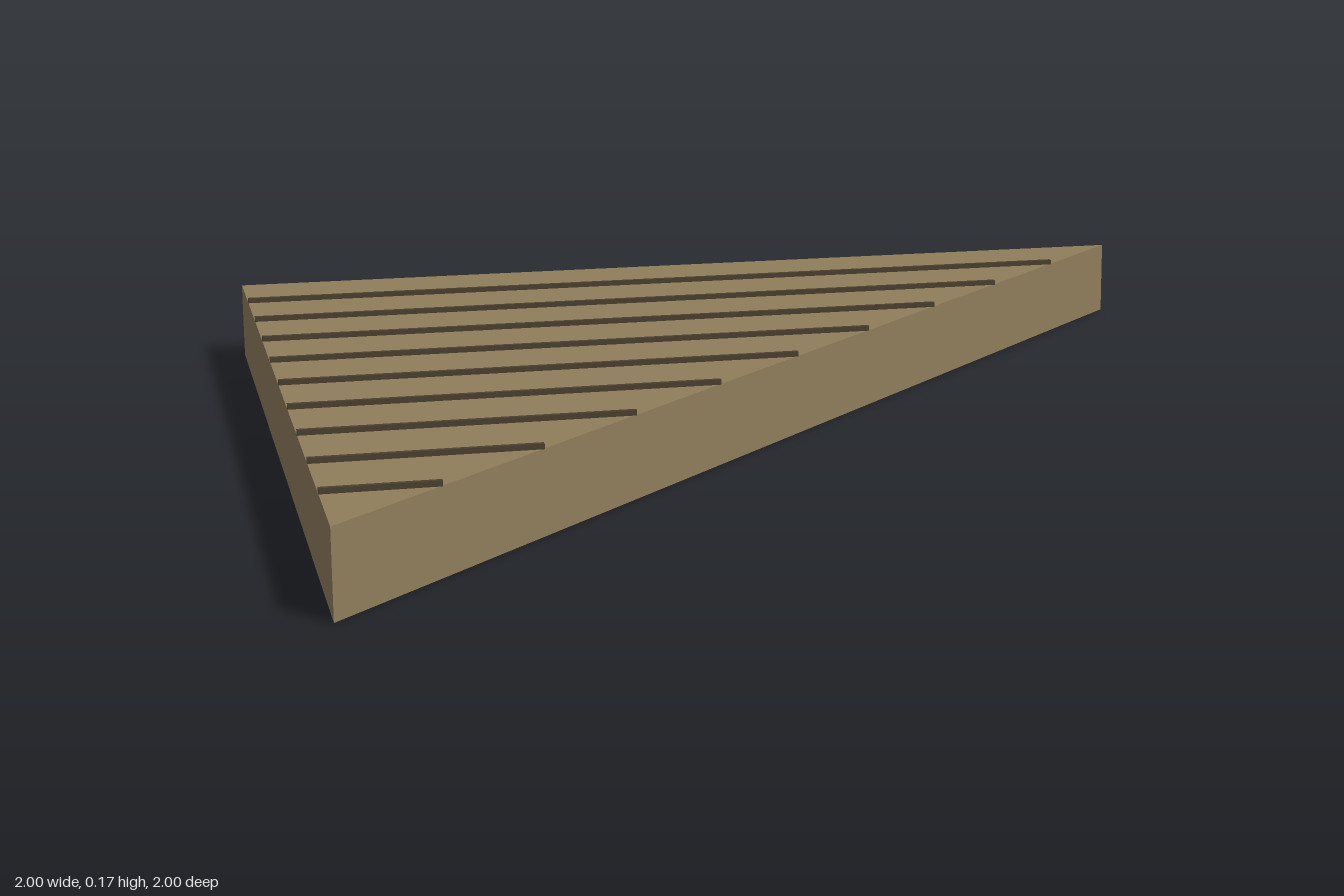
import * as THREE from 'three';

const HEIGHT = 0.155;

export function createModel() {
  const model = new THREE.Group();
  model.name = 'triangularDeck';
  const wood = new THREE.MeshStandardMaterial({ color: 0x8f7d5b });
  const dark = new THREE.MeshStandardMaterial({ color: 0x4a4030 });

  // Right-triangle slab, square corner at the back right
  const outline = new THREE.Shape([
    new THREE.Vector2(-1, 1),
    new THREE.Vector2(-1, -1),
    new THREE.Vector2(1, 1),
  ]);
  const slabGeometry = new THREE.ExtrudeGeometry(outline, { depth: HEIGHT, bevelEnabled: false });
  slabGeometry.rotateX(-Math.PI / 2);
  const slab = new THREE.Mesh(slabGeometry, wood);
  slab.name = 'slab';
  model.add(slab);

  // Thin plank seams, each running from the straight side to the diagonal
  const seams = new THREE.Group();
  seams.name = 'plankSeams';
  for (let i = -4; i <= 4; i++) {
    const z = i * 0.2;
    const length = 1 - z;
    const seam = new THREE.Mesh(new THREE.BoxGeometry(length, 0.01, 0.01), dark);
    seam.name = 'plankSeam';
    seam.position.set(-1 + length / 2, HEIGHT + 0.005, z);
    seams.add(seam);
  }
  model.add(seams);
  return model;
}
